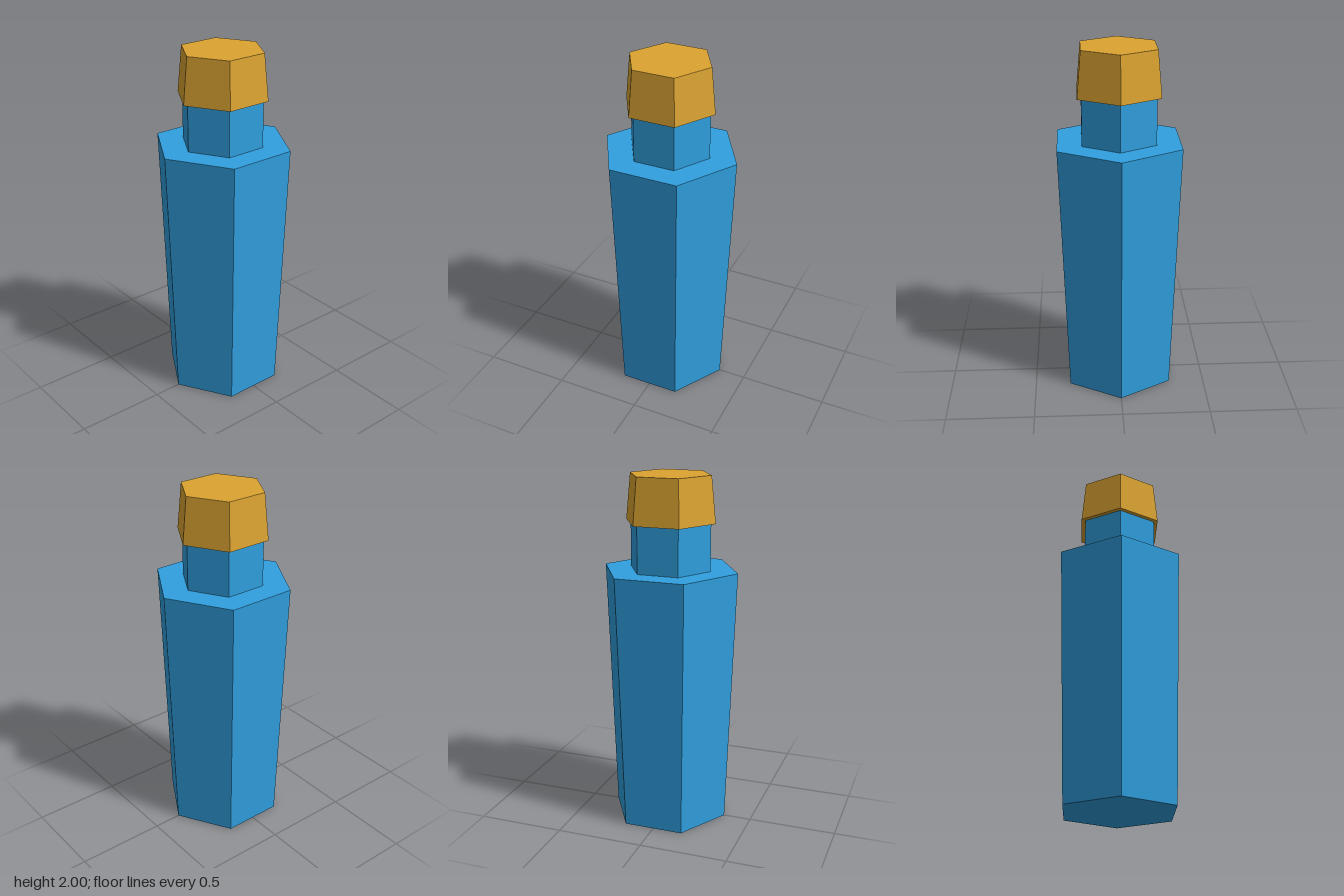
import * as THREE from 'three';

const SIDES = 6;

export function createModel() {
  const group = new THREE.Group();
  group.name = 'bottle';

  const makeMaterial = (name, color) => {
    const material = new THREE.MeshStandardMaterial({ color, flatShading: true });
    material.name = name;
    return material;
  };
  const blue = makeMaterial('blue glass', 0x30a0e0);
  const gold = makeMaterial('gold', 0xdca432);

  // Tapered hexagonal prism from y0 to y1, with corners on the x axis
  const addPrism = (name, material, y0, y1, bottomRadius, topRadius) => {
    const geometry = new THREE.CylinderGeometry(
      topRadius, bottomRadius, y1 - y0, SIDES, 1, false, Math.PI / 2);
    const mesh = new THREE.Mesh(geometry, material);
    mesh.name = name;
    mesh.position.y = (y0 + y1) / 2;
    group.add(mesh);
  };

  addPrism('body', blue, 0, 1.475, 0.341, 0.393);
  addPrism('neck', blue, 1.475, 1.74, 0.236, 0.236);
  addPrism('cap', gold, 1.74, 2, 0.262, 0.236);

  return group;
}
